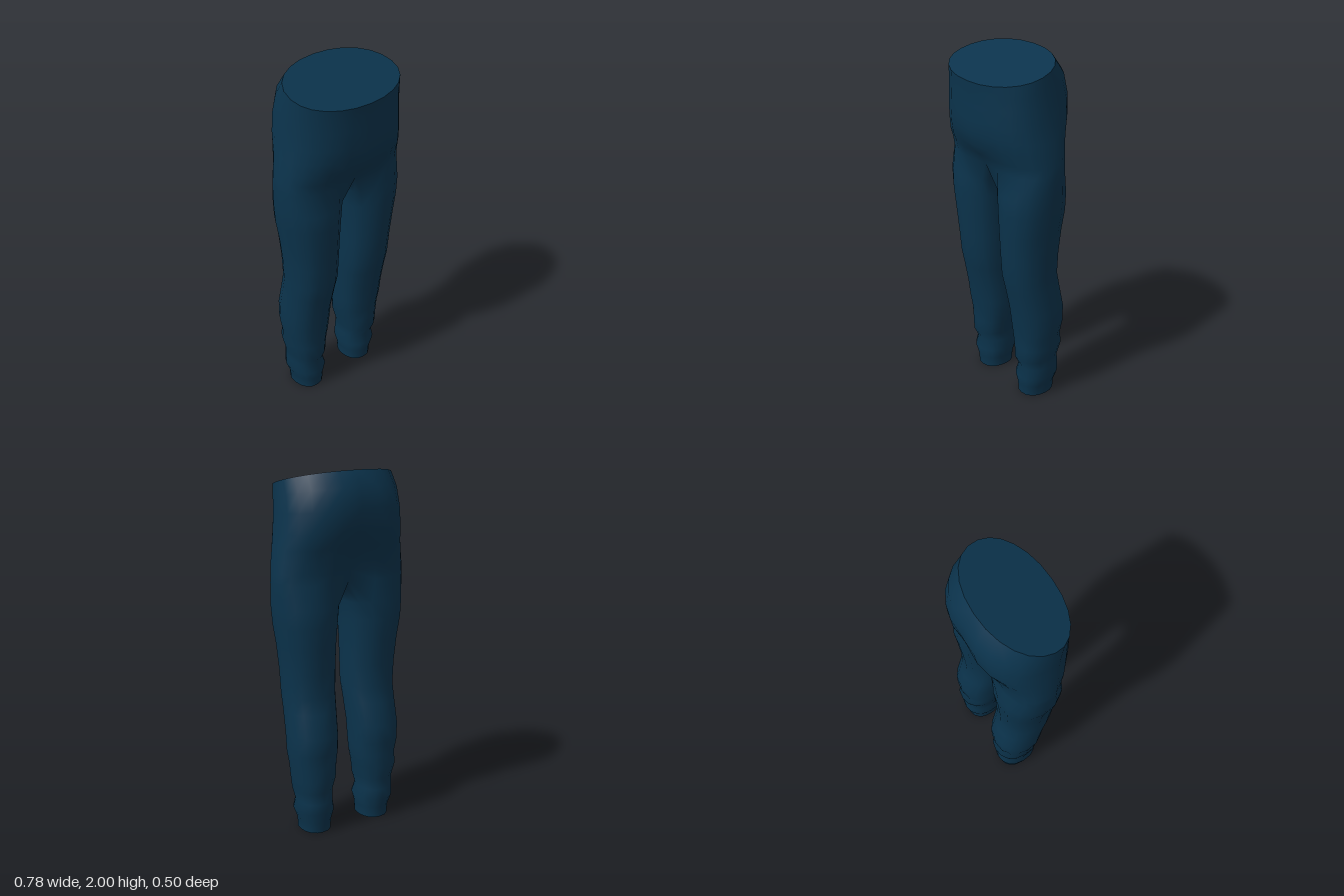
import * as THREE from 'three';
import { mergeVertices } from 'three/addons/utils/BufferGeometryUtils.js';

const K = 12; // steps round the outside of one half, front middle to back middle
const M = 5;  // extra points on the inside of a leg
const N = K + 1 + M;

// Hip sections: height, half width, front z, back z, z of widest point, tilt, squareness, front dip, back cleft
const hips = [
  [1.95, 0.34, 0.255, -0.178, 0.05, 0.276, 0.95, 0, 0],
  [1.87, 0.345, 0.25, -0.238, 0.03, 0.2, 0.9, 0, 0.004],
  [1.78, 0.35, 0.25, -0.258, 0.01, 0.1, 0.87, 0, 0.01],
  [1.68, 0.358, 0.25, -0.248, 0, 0.04, 0.85, 0, 0.02],
  [1.6, 0.37, 0.243, -0.21, -0.01, 0, 0.85, 0, 0.03],
  [1.53, 0.378, 0.225, -0.192, -0.01, 0, 0.82, 0, 0.04],
  [1.47, 0.386, 0.195, -0.18, -0.01, 0, 0.8, 0.01, 0.05],
  [1.41, 0.39, 0.177, -0.177, -0.01, 0, 0.78, 0.03, 0.055],
];

// Leg sections: height, inner x, outer x, front z, back z
const legs = [
  [1.28, 0.024, 0.383, 0.175, -0.178],
  [1.18, 0.035, 0.374, 0.175, -0.18],
  [1.06, 0.043, 0.354, 0.168, -0.17],
  [0.92, 0.046, 0.34, 0.157, -0.16],
  [0.79, 0.047, 0.335, 0.146, -0.156],
  [0.7, 0.053, 0.334, 0.126, -0.176],
  [0.57, 0.06, 0.335, 0.1, -0.205],
  [0.47, 0.062, 0.335, 0.086, -0.203],
  [0.39, 0.068, 0.322, 0.074, -0.19],
  [0.32, 0.08, 0.318, 0.07, -0.203],
  [0.24, 0.094, 0.304, 0.07, -0.18],
  [0.18, 0.102, 0.295, 0.042, -0.188],
  [0.12, 0.088, 0.302, 0.06, -0.186],
  [0.06, 0.104, 0.279, 0.046, -0.17],
  [0, 0.106, 0.276, 0.042, -0.165],
];

const bend = (v, e) => Math.sign(v) * Math.abs(v) ** e;

// Half of a hip section, from front middle round the side to back middle
function hipRow([y, w, zf, zb, zc, tilt, e, dip, cleft]) {
  const row = [];
  for (let j = 0; j <= K; j++) {
    const u = (j / K) * Math.PI;
    const x = j % K ? w * bend(Math.sin(u), e) : 0;
    const c = bend(Math.cos(u), e);
    const groove = Math.exp(-((x / 0.08) ** 2));
    const z = c > 0 ? zc + (zf - zc) * c - dip * groove : zc + (zc - zb) * c + cleft * groove;
    row.push([x, y - tilt * z, z]);
  }
  return row;
}

// Closed leg section, starting at the front inner side
function legRow([y, xi, xo, zf, zb]) {
  const row = [], open = 2.4;
  for (let j = 0; j < N; j++) {
    const a = j <= K
      ? open - (2 * open * j) / K
      : -open - ((2 * Math.PI - 2 * open) * (j - K)) / (M + 1);
    row.push([
      (xi + xo) / 2 + ((xo - xi) / 2) * bend(Math.cos(a), 0.9),
      y,
      (zf + zb) / 2 + ((zf - zb) / 2) * bend(Math.sin(a), 0.9),
    ]);
  }
  return row;
}

function toGeometry(triangles) {
  const g = new THREE.BufferGeometry();
  g.setAttribute('position', new THREE.Float32BufferAttribute(triangles.flat(2), 3));
  const merged = mergeVertices(g, 1e-4);
  merged.computeVertexNormals();
  return merged;
}

// The same triangles on the other side, turned to face outward
const flip = ([x, y, z]) => [x ? -x : 0, y, z];
const mirror = (tris) => tris.map(([a, b, c]) => [flip(a), flip(c), flip(b)]);

function bridge(upper, lower, closed, out) {
  const n = upper.length;
  for (let j = 0; j < (closed ? n : n - 1); j++) {
    const k = (j + 1) % n;
    out.push([upper[j], lower[j], upper[k]], [upper[k], lower[j], lower[k]]);
  }
}

export function createModel() {
  const group = new THREE.Group();
  group.name = 'trousers';
  const fabric = new THREE.MeshStandardMaterial({ color: 0x0b334c });
  fabric.name = 'navy fabric';
  const add = (name, tris) => {
    const mesh = new THREE.Mesh(toGeometry(tris), fabric);
    mesh.name = name;
    group.add(mesh);
  };

  const hipRows = hips.map(hipRow);
  const legRows = legs.map(legRow);

  // Crotch ring: lowest hip section closed by an arc along the middle
  const last = hipRows[hipRows.length - 1];
  const crotch = [...last];
  const back = last[K], front = last[0];
  for (let m = 1; m <= M; m++) {
    const t = m / (M + 1);
    crotch.push([0, back[1] - 0.06 * Math.sin(Math.PI * t) ** 0.6, back[2] + (front[2] - back[2]) * t]);
  }

  // Hips and legs as one skin
  const half = [];
  for (let i = 0; i < hipRows.length - 1; i++) bridge(hipRows[i], hipRows[i + 1], false, half);
  [crotch, ...legRows].forEach((row, i, all) => {
    if (i) bridge(all[i - 1], row, true, half);
  });
  add('hipsAndLegs', [...half, ...mirror(half)]);

  // Flat closing face at the waist
  const waist = [], rim = hipRows[0];
  const middle = [0, 1.94, 0.035];
  for (let j = 0; j < K; j++) waist.push([middle, rim[j], rim[j + 1]]);
  add('waistFace', [...waist, ...mirror(waist)]);

  // Flat closing faces at the ankles
  const hem = legRows[legRows.length - 1];
  const sole = hem.map((p, j) => [[0.191, 0, -0.06], hem[(j + 1) % N], p]);
  add('leftHemFace', sole);
  add('rightHemFace', mirror(sole));

  return group;
}
